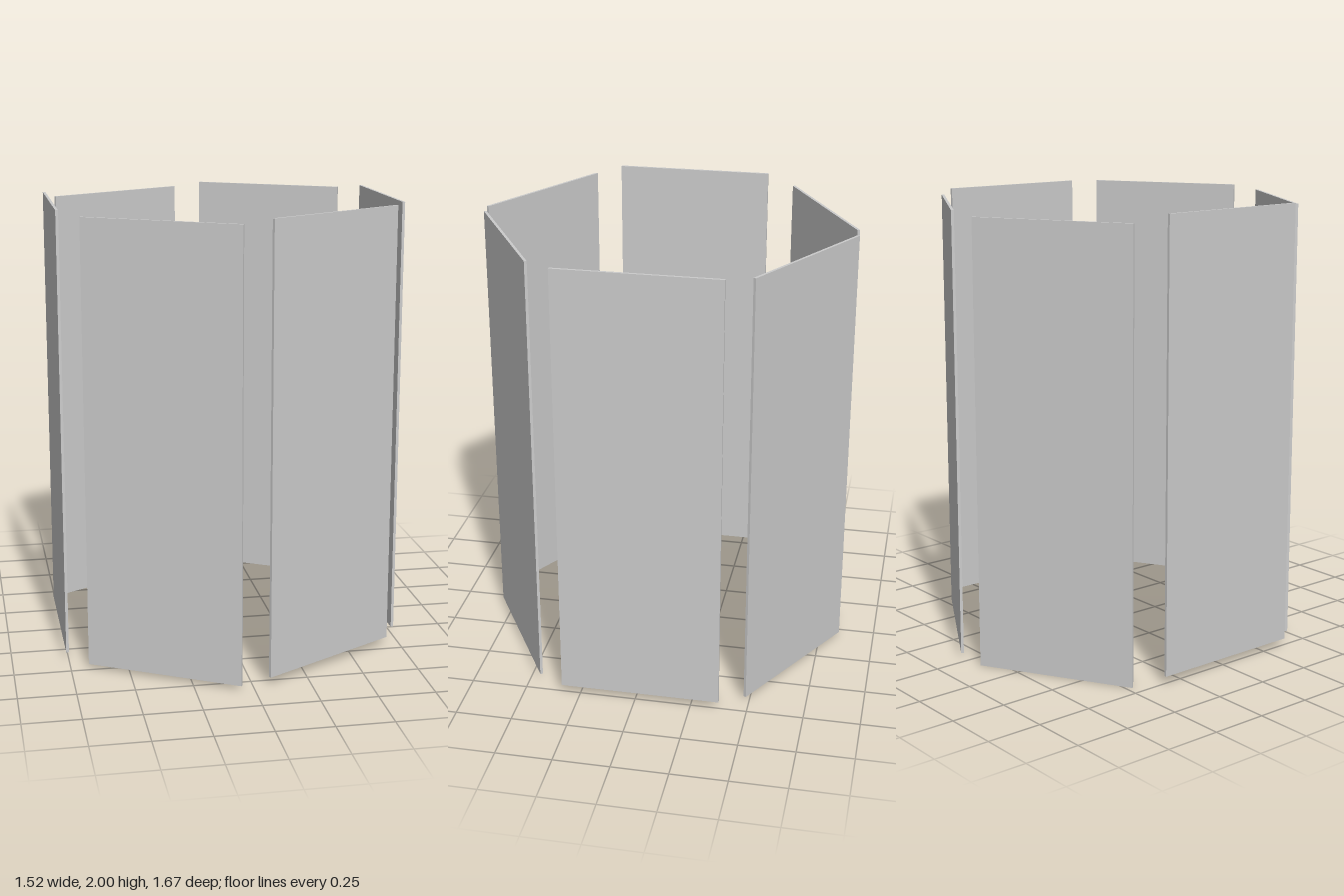
import * as THREE from 'three';

export function createModel() {
  const model = new THREE.Group();
  const material = new THREE.MeshStandardMaterial({ color: 0xcccccc });
  const height = 1.965;
  const panel = new THREE.BoxGeometry(0.71, height, 0.012);

  // Six thin upright panels in a loose hexagonal ring: name, x, z, base height, turn in degrees
  const panels = [
    ['frontLeftPanel', 0.381, 0.623, 0.035, 30],
    ['leftPanel', 0.751, -0.021, 0.035, 90],
    ['backLeftPanel', 0.357, -0.657, 0.018, -30],
    ['backRightPanel', -0.388, -0.647, 0, 30],
    ['rightPanel', -0.755, 0.016, 0.035, 90],
    ['frontRightPanel', -0.361, 0.651, 0.018, -30],
  ];
  for (const [name, x, z, base, turn] of panels) {
    const mesh = new THREE.Mesh(panel, material);
    mesh.name = name;
    mesh.position.set(x, base + height / 2, z);
    mesh.rotation.y = THREE.MathUtils.degToRad(turn);
    model.add(mesh);
  }
  return model;
}
